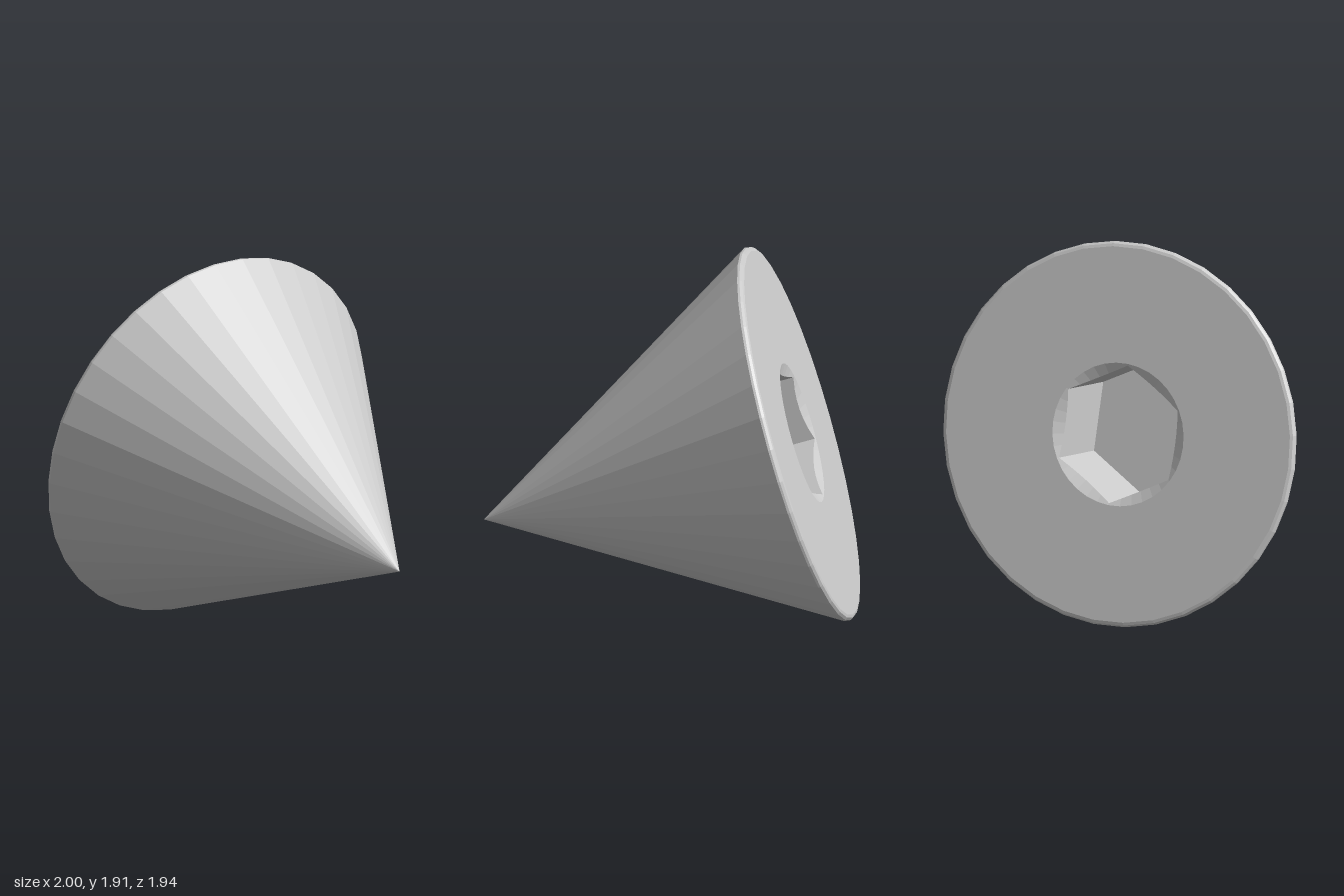
import * as THREE from 'three';

const SIDES = 36;
const FACE_Y = 0.03;       // height of the flat end above the widest rim
const HEX_APOTHEM = 0.3135;
const SOCKET_R = 0.372;    // round edge of the socket countersink
const SOCKET_DEPTH = 0.44;

const material = new THREE.MeshStandardMaterial({ color: 0xcccccc, flatShading: true });

// Revolve a profile of [radius, height] pairs, listed from the tip up and inward
function revolve(name, profile) {
  const points = profile.map(([r, y]) => new THREE.Vector2(r, y));
  const mesh = new THREE.Mesh(new THREE.LatheGeometry(points, SIDES), material);
  mesh.name = name;
  return mesh;
}

// Pull the inner rings of a revolved socket onto a hexagon with a corner on +z
function makeSocket() {
  const mesh = revolve('hexSocket', [
    [SOCKET_R, FACE_Y], [0.3, FACE_Y], [0.3, FACE_Y - SOCKET_DEPTH], [0, FACE_Y - SOCKET_DEPTH],
  ]);
  const pos = mesh.geometry.attributes.position;
  for (let i = 0; i < pos.count; i++) {
    const ring = i % 4;
    if (ring !== 1 && ring !== 2) continue;
    const angle = Math.floor(i / 4) / SIDES * Math.PI * 2;
    const r = HEX_APOTHEM / Math.cos(angle % (Math.PI / 3) - Math.PI / 6);
    // the lip follows the shallow conical countersink
    const y = ring === 1 ? FACE_Y - (SOCKET_R - r) * 0.5 : pos.getY(i);
    pos.setXYZ(i, r * Math.sin(angle), y, r * Math.cos(angle));
  }
  mesh.geometry.computeVertexNormals();
  return mesh;
}

export function createModel() {
  const group = new THREE.Group();
  group.name = 'coneWithSocket';

  const body = new THREE.Group();
  body.name = 'tiltedCone';
  body.add(
    revolve('coneSide', [[0, -1.695], [1, 0]]),
    revolve('roundedRim', [[1, 0], [0.999, 0.012], [0.99, 0.025], [0.975, FACE_Y]]),
    revolve('endFace', [[0.975, FACE_Y], [SOCKET_R, FACE_Y]]),
    makeSocket(),
  );

  // Lay the cone over so the tip points forward and the end face leans back
  body.rotation.x = -1.262;
  body.position.set(0, 0.954, -0.645);
  group.add(body);
  return group;
}
